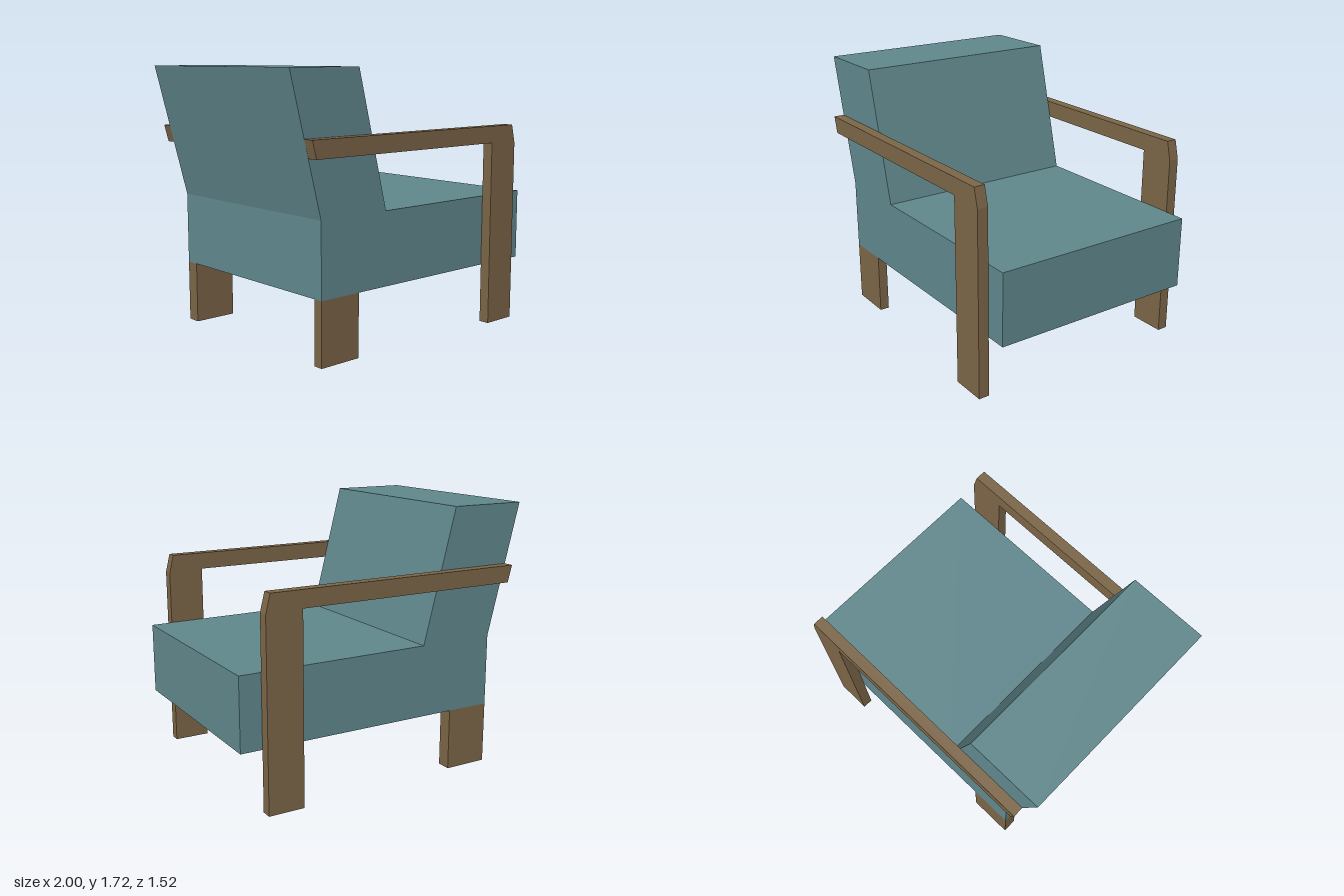
import * as THREE from 'three';

const fabric = new THREE.MeshStandardMaterial({ color: 0x5f868b, flatShading: true });
const wood = new THREE.MeshStandardMaterial({ color: 0x7a6446, flatShading: true });

// Side profile in x/y, extruded from z0 to z1
function slab(name, points, z0, z1, material) {
  const shape = new THREE.Shape(points.map(([x, y]) => new THREE.Vector2(x, y)));
  const geometry = new THREE.ExtrudeGeometry(shape, { depth: z1 - z0, bevelEnabled: false });
  geometry.translate(0, 0, z0);
  const mesh = new THREE.Mesh(geometry, material);
  mesh.name = name;
  return mesh;
}

export function createModel() {
  const chair = new THREE.Group();
  chair.name = 'armchair';

  // Upholstered seat and leaning backrest in one block
  chair.add(slab('seatAndBackrest', [
    [-0.78, 0.4], [1, 0.4], [1, 0.865], [-0.27, 0.865],
    [-0.49, 1.72], [-1, 1.72], [-0.78, 0.865],
  ], -0.693, 0.69, fabric));

  // Armrest and front leg cut as one board on each side
  const arm = [
    [-0.87, 1.22], [0.625, 1.22], [0.625, 0.01], [0.86, 0.01],
    [0.86, 1.21], [0.83, 1.33], [-0.9, 1.33],
  ];
  chair.add(slab('nearArmAndLeg', arm, 0.69, 0.76, wood));
  chair.add(slab('farArmAndLeg', arm, -0.763, -0.693, wood));

  // Short rear legs under the seat
  const leg = [[-0.78, 0], [-0.49, 0], [-0.49, 0.4], [-0.78, 0.4]];
  chair.add(slab('nearRearLeg', leg, 0.627, 0.69, wood));
  chair.add(slab('farRearLeg', leg, -0.693, -0.6, wood));

  return chair;
}
